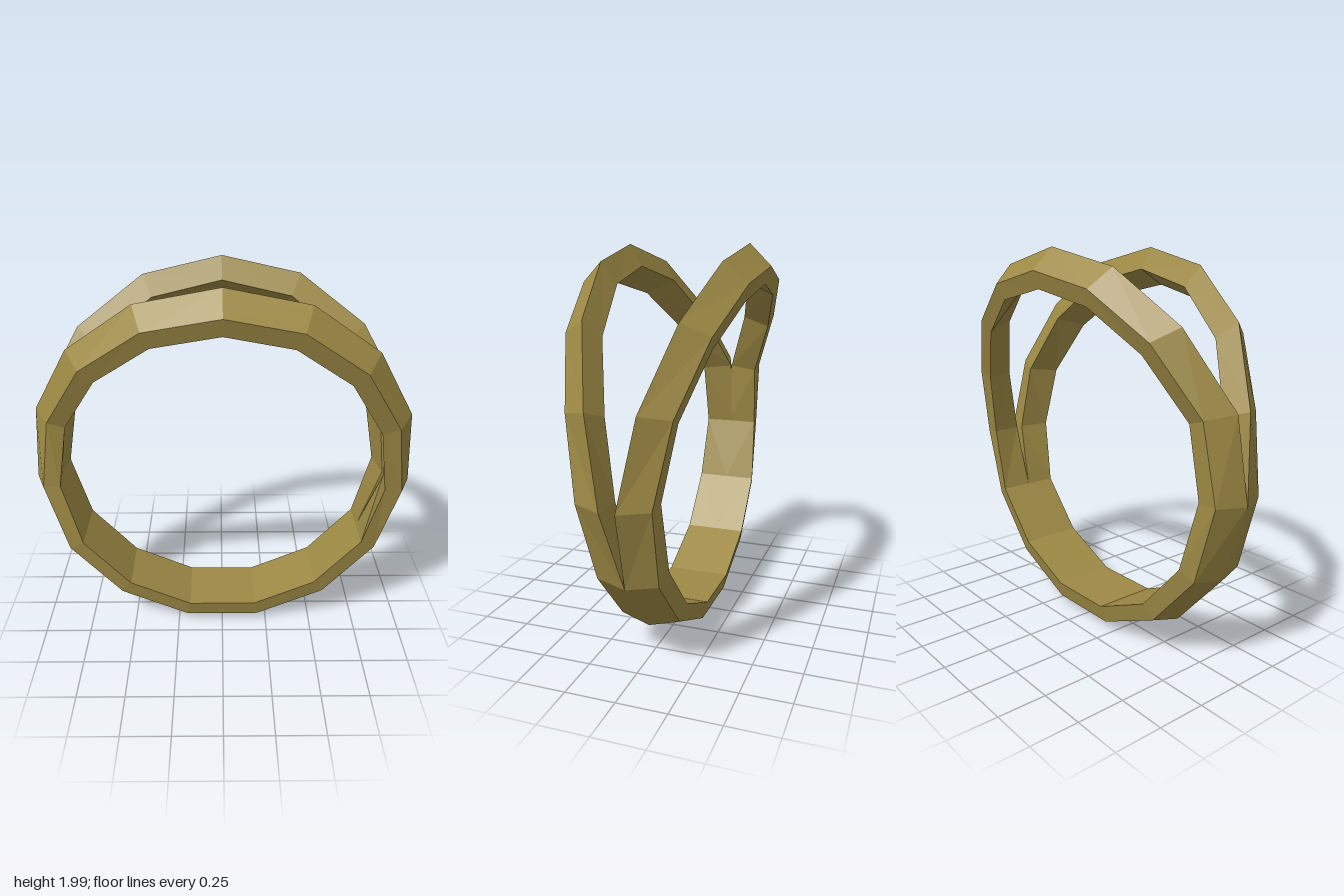
import * as THREE from 'three';

const SIDES = 15, RADIUS = 1.005, CENTRE_Y = 0.984;

// Half-band profile: [sideways, radial] from the outer ridge
const PROFILE = [[0, 0], [0.15, -0.04], [0.17, -0.13], [0, -0.13]];

// Per station clockwise from the top: ridge distance from the middle plane, and tilt in degrees
const FRONT_SPREAD = [0.32, 0.295, 0.23, 0.13, 0.055, 0, 0, 0, 0, 0, 0, 0, 0.04, 0.18, 0.275];
const BACK_SPREAD = [0.32, 0.30, 0.215, 0.105, 0.02, 0, 0, 0, 0, 0, 0, 0, 0.04, 0.18, 0.28];
const TILT = [30, 28, 24, 18, 9, 0, 0, 0, 0, 0, 0, 7, 17, 24, 28];

// One faceted half band; dir = 1 for the front, -1 for the back
function halfBand(spread, dir) {
  const sections = spread.map((z0, k) => {
    const a = (k / SIDES) * Math.PI * 2;
    const t = THREE.MathUtils.degToRad(TILT[k]);
    return PROFILE.map(([s, r]) => {
      const z = z0 + s * Math.cos(t) + r * Math.sin(t);
      const rad = RADIUS + r * Math.cos(t) - s * Math.sin(t);
      return [Math.sin(a) * rad, CENTRE_Y + Math.cos(a) * rad, z * dir];
    });
  });
  const pos = [];
  const tri = (a, b, c) => pos.push(...a, ...(dir > 0 ? b : c), ...(dir > 0 ? c : b));
  for (let k = 0; k < SIDES; k++) {
    const n = (k + 1) % SIDES;
    const joined = [k, n].every((i) => spread[i] === 0 && TILT[i] === 0);
    // The wall facing the other band exists only where the bands part
    for (let e = 0; e < (joined ? 3 : 4); e++) {
      const f = (e + 1) % 4;
      const [a, b, c, d] = [sections[k][e], sections[k][f], sections[n][f], sections[n][e]];
      tri(a, b, d);
      tri(b, c, d);
    }
  }
  const g = new THREE.BufferGeometry();
  g.setAttribute('position', new THREE.Float32BufferAttribute(pos, 3));
  g.computeVertexNormals();
  return g;
}

export function createModel() {
  const group = new THREE.Group();
  group.name = 'splitRing';
  const gold = new THREE.MeshStandardMaterial({ color: 0x9e8a45 });
  gold.name = 'antique gold';

  const front = new THREE.Mesh(halfBand(FRONT_SPREAD, 1), gold);
  front.name = 'frontBand';
  const back = new THREE.Mesh(halfBand(BACK_SPREAD, -1), gold);
  back.name = 'backBand';
  group.add(front, back);
  return group;
}
